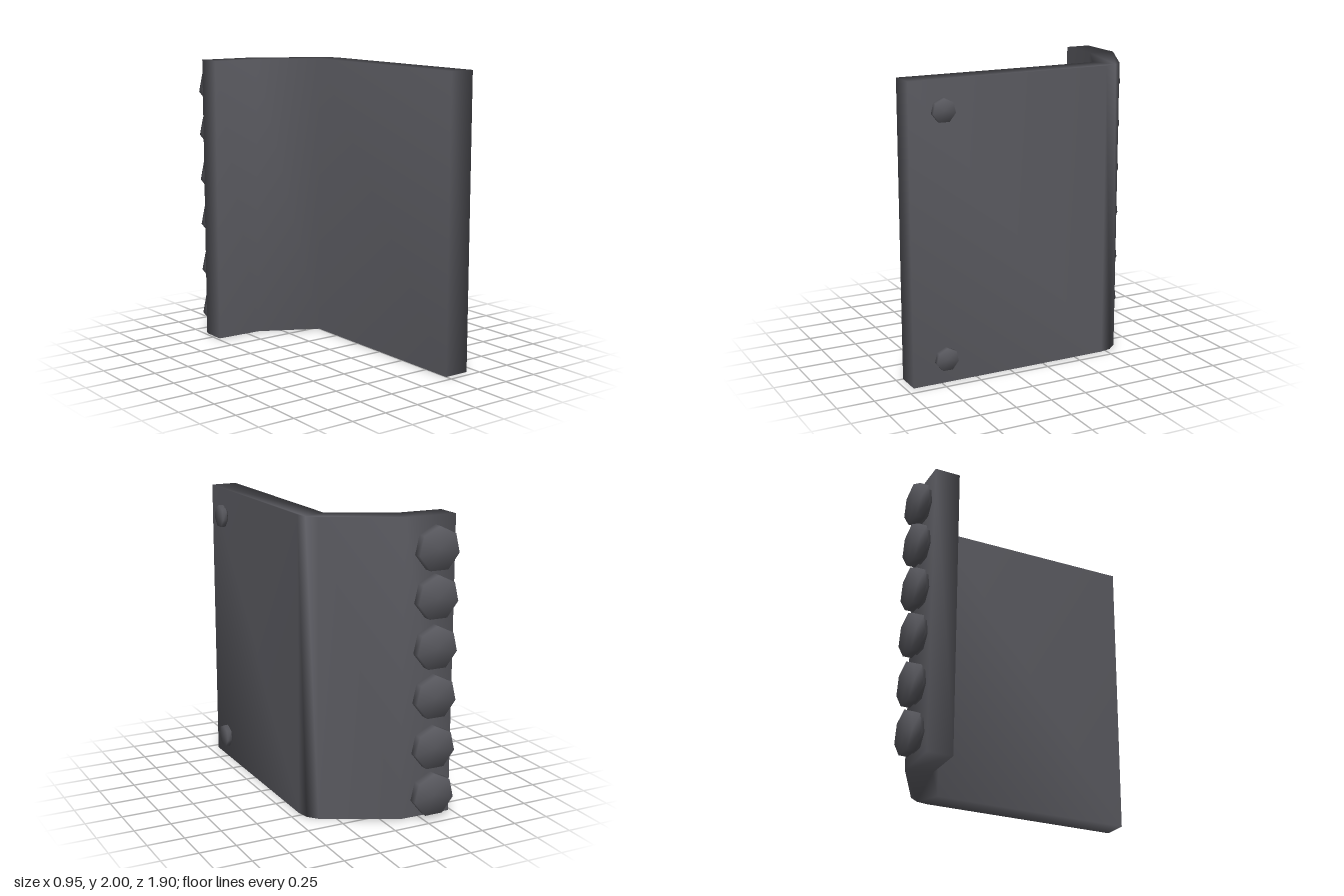
import * as THREE from 'three';
import { mergeVertices } from 'three/addons/utils/BufferGeometryUtils.js';

// Weld corners so shading runs smoothly over the edges
function smooth(geometry) {
  geometry.deleteAttribute('uv');
  geometry.deleteAttribute('normal');
  const welded = mergeVertices(geometry, 1e-4);
  welded.computeVertexNormals();
  return welded;
}

// Seven-sided bolt: narrow neck under a wider head, pointing towards -z
function boltGeometry(neckR, headR, neckH, height) {
  const profile = [[0, 0], [neckR, 0], [neckR, neckH], [headR, neckH], [headR, height], [0, height]]
    .map(([r, h]) => new THREE.Vector2(r, h));
  return smooth(new THREE.LatheGeometry(profile, 7)).rotateX(-Math.PI / 2);
}

export function createModel() {
  const model = new THREE.Group();
  const metal = new THREE.MeshStandardMaterial({ color: 0x5a5a60 });
  metal.name = 'dark grey metal';

  function add(name, geometry, x = 0, y = 0, z = 0) {
    const mesh = new THREE.Mesh(geometry, metal);
    mesh.name = name;
    mesh.position.set(x, y, z);
    model.add(mesh);
  }

  // Bent plate: plan outline (x, z) raised to full height
  const outline = [
    [0.43, 0.95], [0.43, -0.465], [0.412, -0.545], [0.357, -0.61], [-0.12, -0.855], [-0.48, -0.865],
    [-0.48, -0.69], [-0.15, -0.68], [0.25, -0.468], [0.25, 0.95],
  ].map(([x, z]) => new THREE.Vector2(x, -z));
  const plate = new THREE.ExtrudeGeometry(new THREE.Shape(outline), { depth: 2, bevelEnabled: false });
  add('bentPlate', smooth(plate.rotateX(-Math.PI / 2)));

  // Column of large bolts on the back flange
  const large = boltGeometry(0.12, 0.147, 0.035, 0.095);
  [1.8, 1.49, 1.163, 0.835, 0.493, 0.168].forEach((y, i) => {
    add(`backBolt${i + 1}`, large, -0.315, y, -0.858);
  });

  // Two small bolts on the outer side
  const small = boltGeometry(0.062, 0.079, 0.013, 0.047).rotateY(-Math.PI / 2);
  add('upperSideBolt', small, 0.428, 1.808, 0.725);
  add('lowerSideBolt', small, 0.428, 0.172, 0.725);

  return model;
}
